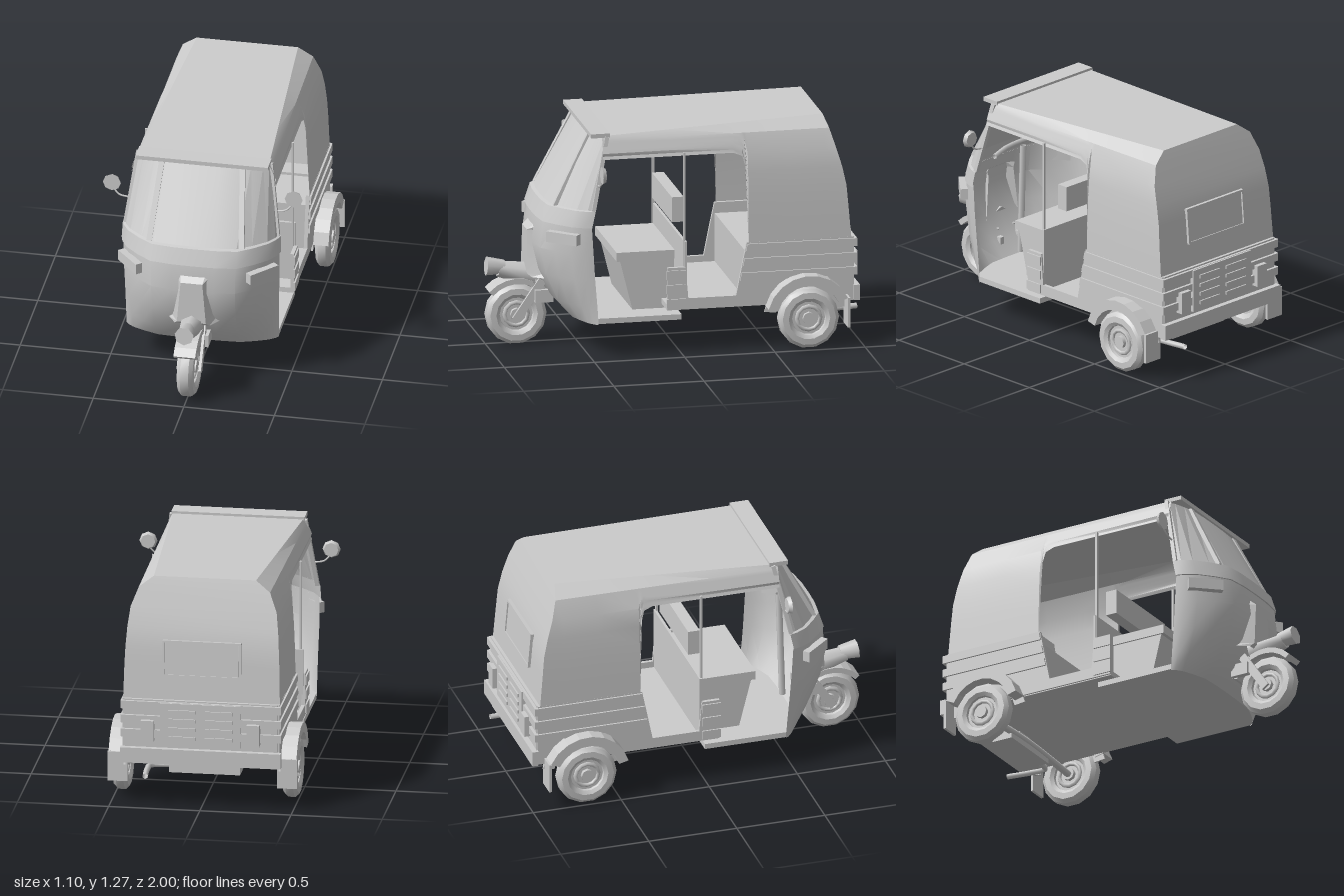
import * as THREE from 'three';
import { toCreasedNormals } from 'three/addons/utils/BufferGeometryUtils.js';

const grey = new THREE.MeshStandardMaterial({ color: 0xcccccc, side: THREE.DoubleSide });
grey.name = 'plain grey';
const lerp = THREE.MathUtils.lerp;

export function createModel() {
  const model = new THREE.Group();
  model.name = 'threeWheeler';

  const add = (name, geo, pos = [0, 0, 0], rot = [0, 0, 0], parent = model) => {
    const m = new THREE.Mesh(geo, grey);
    m.name = name;
    m.position.set(...pos);
    m.rotation.set(...rot);
    parent.add(m);
    return m;
  };
  // Box given by its limits on each axis
  const box = (name, x0, x1, y0, y1, z0, z1) =>
    add(name, new THREE.BoxGeometry(x1 - x0, y1 - y0, z1 - z0), [(x0 + x1) / 2, (y0 + y1) / 2, (z0 + z1) / 2]);
  const tube = (name, pts, r, n = 8) =>
    add(name, new THREE.TubeGeometry(new THREE.CatmullRomCurve3(pts.map(p => new THREE.Vector3(...p))), n, r, 6));
  // Surface through rows of points
  const loft = (rows, crease = 0.6) => {
    const n = rows[0].length, idx = [];
    for (let i = 0; i < rows.length - 1; i++)
      for (let j = 0; j < n - 1; j++) {
        const a = i * n + j, b = a + n;
        idx.push(a, a + 1, b, b, a + 1, b + 1);
      }
    const g = new THREE.BufferGeometry();
    g.setAttribute('position', new THREE.Float32BufferAttribute(rows.flat(2), 3));
    g.setIndex(idx);
    return toCreasedNormals(g, crease);
  };
  // Side outline in (z, y) extruded inwards from x
  const side = (name, pts, x, depth) => {
    const g = new THREE.ExtrudeGeometry(new THREE.Shape(pts.map(p => new THREE.Vector2(...p))), { depth, bevelEnabled: false });
    g.rotateY(-Math.PI / 2);
    return add(name, g, [x, 0, 0]);
  };

  // Front cowl, belt and windscreen: one plan curve scaled at each height
  const plan = [[1, 0], [0.97, 0.18], [0.89, 0.42], [0.72, 0.7], [0.54, 0.93], [0.27, 0.99], [0, 1]];
  const ring = ([y, w, zs, zf]) => {
    const half = plan.map(([u, v]) => [u * w, y, lerp(zs, zf, v)]);
    return [...half, ...half.slice(0, -1).reverse().map(([x, b, z]) => [-x, b, z])];
  };
  const cowl = [[0.2, 0.42, 0.46, 0.57], [0.3, 0.422, 0.467, 0.66], [0.45, 0.425, 0.48, 0.73],
    [0.6, 0.43, 0.49, 0.762], [0.76, 0.43, 0.5, 0.74]];
  add('frontCowl', loft(cowl.map(ring)));
  add('belt', loft([[0.75, 0.43, 0.5, 0.74], [0.75, 0.44, 0.5, 0.75], [0.84, 0.437, 0.48, 0.72], [0.845, 0.42, 0.48, 0.7]].map(ring), 0.5));
  const glass = [[0.84, 0.425, 0.48, 0.7], [1.24, 0.37, 0.4, 0.475]];
  add('windscreen', loft(glass.map(ring), 0.25));
  box('visor', -0.365, 0.365, 1.235, 1.258, 0.385, 0.49);

  // Floors
  const fs = new THREE.Shape();
  fs.moveTo(-0.42, 0);
  ring(cowl[0]).reverse().forEach(([x, , z]) => fs.lineTo(x, z));
  fs.lineTo(0.42, 0);
  const floorGeo = new THREE.ExtrudeGeometry(fs, { depth: 0.03, bevelEnabled: false });
  floorGeo.rotateX(Math.PI / 2);
  add('frontFloor', floorGeo, [0, 0.235, 0]);
  box('rearFloor', -0.42, 0.42, 0.26, 0.29, -0.95, 0.08);

  // Canopy: sections along z, the rear ones reaching down to the body
  const prof = [[0.6, 0.43], [0.85, 0.424], [1.0, 0.415], [1.12, 0.4], [1.22, 0.36]];
  const at = (y, k) => {
    let i = 0;
    while (i < prof.length - 2 && y > prof[i + 1][0]) i++;
    return lerp(prof[i][k], prof[i + 1][k], (y - prof[i][0]) / (prof[i + 1][0] - prof[i][0]));
  };
  const backZ = y => (y < 0.95 ? lerp(-0.94, -0.91, (y - 0.6) / 0.35) : lerp(-0.91, -0.83, (y - 0.95) / 0.27));
  const section = (z, low) => {
    const t = (0.44 - z) / 1.25, half = [];
    for (let i = 0; i <= 6; i++) {
      const y = lerp(low, 1.22, i / 6);
      half.push([at(y, 1) + 0.012 * Math.max(0, 1 - t) * (y > 1.15), y, Math.max(z, backZ(y))]);
    }
    half.push([lerp(0.36, 0.28, Math.min(t, 1)), lerp(1.243, 1.28, Math.min(t, 1)), Math.max(z, -0.81)]);
    return half;
  };
  const mirror = h => h.map(([x, y, z]) => [-x, y, z]);
  const full = h => [...h, ...mirror(h).reverse()];
  add('canopy', loft([[0.43, 1.12], [0.05, 1.12], [-0.29, 1.12], [-0.34, 1.1], [-0.355, 1.04], [-0.37, 0.6], [-0.6, 0.6], [-0.8, 0.6], [-1, 0.6]]
    .map(([z, low]) => full(section(z, low))), 0.45));
  const edge = section(-1, 0.6);
  add('canopyBack', loft([edge, mirror(edge)], 0.3));

  // Rear window frame on the sloping back
  const win = new THREE.Group();
  win.name = 'rearWindow';
  win.position.set(0, 0.85, -0.924);
  win.rotation.x = 0.086;
  model.add(win);
  add('windowPane', new THREE.BoxGeometry(0.4, 0.18, 0.008), [0, 0, 0], [0, 0, 0], win);
  for (const s of [-1, 1]) {
    add('windowFrame', new THREE.BoxGeometry(0.43, 0.012, 0.02), [0, s * 0.095, 0], [0, 0, 0], win);
    add('windowFrame', new THREE.BoxGeometry(0.012, 0.2, 0.02), [s * 0.21, 0, 0], [0, 0, 0], win);
  }

  // Lower rear body, ribs and louvred engine cover
  box('rearPanel', -0.42, 0.42, 0.27, 0.62, -0.955, -0.935);
  box('bodyShelf', -0.42, 0.42, 0.6, 0.615, -0.94, -0.6);
  for (const y of [0.43, 0.51, 0.59]) box('rearRib', -0.437, 0.437, y - 0.022, y + 0.022, -0.97, -0.95);
  box('rearBumper', -0.44, 0.44, 0.265, 0.35, -0.985, -0.95);
  box('engineCover', -0.22, 0.22, 0.37, 0.61, -0.98, -0.95);
  for (const x of [-0.1, 0.1])
    for (let i = 0; i < 4; i++) box('louvre', x - 0.075, x + 0.075, 0.405 + i * 0.05, 0.425 + i * 0.05, -0.988, -0.978);

  // Seats and partition
  box('driverSeat', -0.28, 0.28, 0.51, 0.56, 0.01, 0.33);
  side('driverSeatBase', [[0.01, 0.23], [0.24, 0.23], [0.31, 0.51], [0.01, 0.51]], 0.27, 0.54);
  box('partition', -0.42, 0.42, 0.28, 0.64, -0.03, -0.015);
  box('driverBackrest', -0.26, 0.26, 0.71, 0.85, -0.045, 0.02);
  box('benchBase', -0.41, 0.41, 0.28, 0.48, -0.6, -0.36);
  box('benchCushion', -0.41, 0.41, 0.48, 0.56, -0.72, -0.36);
  add('benchBackrest', new THREE.BoxGeometry(0.8, 0.42, 0.06), [0, 0.76, -0.76], [-0.15, 0, 0]);

  // Steering
  tube('steeringColumn', [[0, 0.24, 0.57], [0, 0.55, 0.56], [0, 0.86, 0.55]], 0.018);
  tube('handlebar', [[-0.25, 0.87, 0.52], [-0.1, 0.88, 0.56], [0.1, 0.88, 0.56], [0.25, 0.87, 0.52]], 0.014);

  // Wheel: tyre, dished rim and hub, with its axle along x
  const wheel = (name, x, y, z, w) => {
    const g = new THREE.Group();
    g.name = name;
    g.position.set(x, y, z);
    model.add(g);
    const p = [[0.095, -0.7], [0.115, -1], [0.148, -0.95], [0.168, -0.5], [0.168, 0.5], [0.148, 0.95], [0.115, 1], [0.095, 0.7], [0.09, 0.3], [0.09, -0.3], [0.095, -0.7]];
    const tyre = new THREE.LatheGeometry(p.map(([r, h]) => new THREE.Vector2(r, h * w)), 14);
    add('tyre', toCreasedNormals(tyre, 0.5), [0, 0, 0], [0, 0, Math.PI / 2], g);
    add('rim', new THREE.CylinderGeometry(0.092, 0.092, w * 0.8, 14), [0, 0, 0], [0, 0, Math.PI / 2], g);
    for (const s of [-1, 1])
      add('rimRing', new THREE.TorusGeometry(0.065, 0.012, 5, 12), [s * w * 0.45, 0, 0], [0, Math.PI / 2, 0], g);
    add('hub', new THREE.CylinderGeometry(0.035, 0.035, w * 1.8, 8), [0, 0, 0], [0, 0, Math.PI / 2], g);
  };
  // Arched mudguard outline in (z, y)
  const arch = (cz, cy, r0, r1, a0, a1, n = 9) => {
    const arc = r => Array.from({ length: n }, (_, i) => {
      const a = lerp(a0, a1, i / (n - 1));
      return [cz + r * Math.cos(a), cy + r * Math.sin(a)];
    });
    return [...arc(r1), ...arc(r0).reverse()];
  };

  // Front wheel, fork, mudguard and headlamp
  wheel('frontWheel', 0, 0.178, 0.832, 0.046);
  side('frontMudguard', arch(0.832, 0.17, 0.185, 0.215, 0.75, 2.75), 0.06, 0.12);
  add('mudguardCrest', new THREE.CylinderGeometry(0.045, 0.07, 0.2, 6), [0, 0.41, 0.83], [1.35, 0, 0]);
  add('headlamp', new THREE.CylinderGeometry(0.053, 0.04, 0.1, 7), [0, 0.445, 0.945], [Math.PI / 2 - 0.1, 0, 0]);
  for (const s of [-1, 1]) {
    add('forkArm', new THREE.BoxGeometry(0.015, 0.26, 0.045), [s * 0.06, 0.26, 0.77], [-0.6, 0, 0]);
    add('forkBracket', new THREE.BoxGeometry(0.03, 0.07, 0.1), [s * 0.07, 0.285, 0.69]);
  }
  // Tapered nose cover
  add('noseCover', loft([[0.4, 0.12, 0.7, 0.765], [0.42, 0.1, 0.71, 0.785], [0.66, 0.075, 0.72, 0.782], [0.69, 0.085, 0.72, 0.745]]
    .map(([y, w, z0, z1]) => [[w + 0.02, y, z0], [w * 0.8, y, z1], [-w * 0.8, y, z1], [-w - 0.02, y, z0]]), 0.2));

  // Exhaust
  box('muffler', -0.19, 0.2, 0.16, 0.21, -0.8, -0.68);
  tube('exhaustPipe', [[0.18, 0.185, -0.74], [0.3, 0.185, -0.76], [0.31, 0.19, -0.86], [0.3, 0.195, -0.995]], 0.016, 14);
  box('mufflerMount', -0.05, 0.05, 0.2, 0.27, -0.77, -0.71);
  tube('rearAxle', [[-0.44, 0.19, -0.69], [0, 0.21, -0.69], [0.44, 0.19, -0.69]], 0.02);

  // Mirrored parts
  for (const s of [-1, 1]) {
    const out = (x, d) => (s > 0 ? x : -x + d);
    side('lowerSide', [[0.08, 0.265], [0.08, 0.5], [-0.02, 0.5], [-0.035, 0.325], [-0.3, 0.325], [-0.335, 0.5], [-0.36, 0.62], [-0.95, 0.62], [-0.95, 0.265]], out(0.43, 0.02), 0.02);
    for (const y of [0.43, 0.51, 0.59]) {
      side('sideRib', [[-0.32 - (y - 0.43) * 0.2, y - 0.022], [-0.33 - (y - 0.43) * 0.2, y + 0.022], [-0.965, y + 0.022], [-0.965, y - 0.022]], out(0.44, 0.012), 0.012);
    }
    for (const y of [0.3, 0.38, 0.46]) box('sillRib', Math.min(s * 0.425, s * 0.438), Math.max(s * 0.425, s * 0.438), y - 0.025, y + 0.025, -0.02, 0.085);
    box('doorPost', s * 0.405 - 0.006, s * 0.405 + 0.006, 0.3, 1.14, -0.023, -0.011);

    // Rear wheel with mudguard and flap
    wheel('rearWheel', s * 0.465, 0.192, -0.69, 0.042);
    side('rearMudguard', arch(-0.69, 0.2, 0.18, 0.235, 0.25, 2.7), out(0.515, 0.1), 0.1);
    side('mudguardInner', arch(-0.69, 0.2, 0.17, 0.235, 0.1, 3), out(0.43, 0.01), 0.01);
    box('mudFlap', s * 0.465 - 0.055, s * 0.465 + 0.055, 0.135, 0.3, -0.915, -0.9);

    // Tail lamp
    box('tailLamp', s * 0.29 - 0.035, s * 0.29 + 0.035, 0.39, 0.51, -0.995, -0.95);
    // Front indicator along the cowl corner
    add('indicator', new THREE.BoxGeometry(0.19, 0.06, 0.04), [s * 0.365, 0.685, 0.645], [0, s * 0.85, 0]);

    // Windscreen pillars following the glass
    const pillar = (name, u, v, r) => {
      const p = glass.map(([y, w, zs, zf]) => new THREE.Vector3(s * u * w, y, lerp(zs, zf, v)));
      const m = add(name, new THREE.BoxGeometry(r, p[0].distanceTo(p[1]), 0.022), p[0].clone().add(p[1]).multiplyScalar(0.5).toArray());
      m.quaternion.setFromUnitVectors(new THREE.Vector3(0, 1, 0), p[1].clone().sub(p[0]).normalize());
    };
    pillar('screenPillar', 0.6, 0.86, 0.03);
    pillar('doorPillar', 0.99, 0.04, 0.022);

    // Mirror on a bent stalk
    tube('mirrorStalk', [[s * 0.41, 0.98, 0.46], [s * 0.46, 0.99, 0.46], [s * 0.5, 1.03, 0.45]], 0.005);
    add('mirror', new THREE.CylinderGeometry(0.05, 0.04, 0.02, 8), [s * 0.502, 1.06, 0.45], [Math.PI / 2, 0, 0]);
  }
  return model;
}
